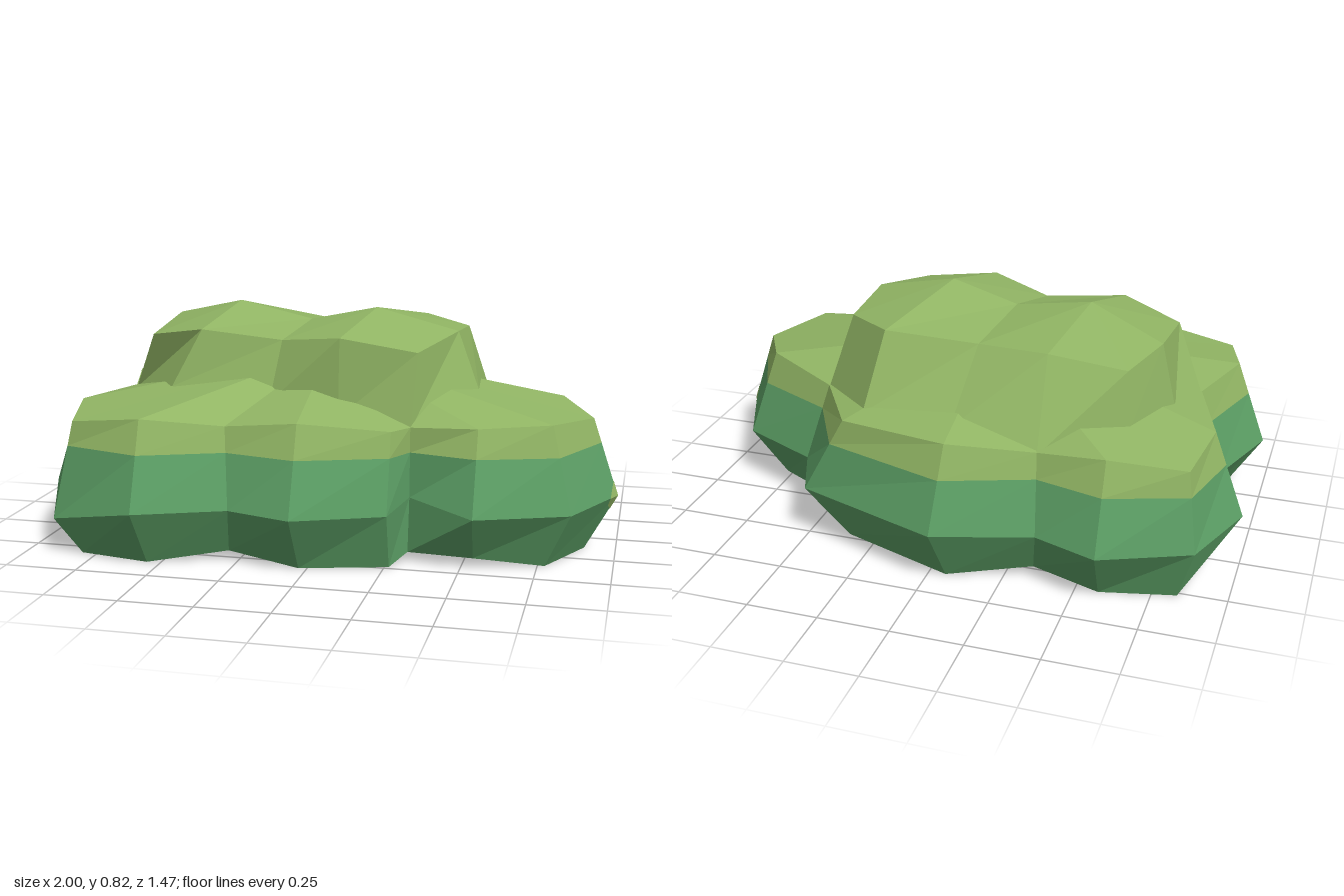
import * as THREE from 'three';

const leafTop = new THREE.MeshStandardMaterial({ color: 0x91b564, flatShading: true });
leafTop.name = 'light leaf green';
const leafSide = new THREE.MeshStandardMaterial({ color: 0x5c9f65, flatShading: true });
leafSide.name = 'deep leaf green';

const V = (x, y, z) => new THREE.Vector3(x, y, z);

// Flat-sided mesh through stacked rings, each counterclockwise seen from above
function loft(name, rings, material) {
  const pos = [];
  const tri = (a, b, c) => {
    if (a.equals(b) || b.equals(c) || c.equals(a)) return;
    for (const p of [a, b, c]) pos.push(p.x, p.y, p.z);
  };
  for (let r = 0; r + 1 < rings.length; r++) {
    const lo = rings[r], hi = rings[r + 1], n = lo.length;
    for (let i = 0; i < n; i++) {
      const j = (i + 1) % n;
      tri(lo[i], lo[j], hi[j]);
      tri(lo[i], hi[j], hi[i]);
    }
  }
  return meshFrom(name, pos, material);
}

function meshFrom(name, pos, material) {
  const g = new THREE.BufferGeometry();
  g.setAttribute('position', new THREE.Float32BufferAttribute(pos, 3));
  g.computeVertexNormals();
  const mesh = new THREE.Mesh(g, material);
  mesh.name = name;
  return mesh;
}

export function createModel() {
  const group = new THREE.Group();
  group.name = 'bush';

  // Widest outline of the lower foliage: back, left-hand side, front, right-hand side
  const middle = [
    [-0.04, 0.21, -0.74], [-0.37, 0.2, -0.62], [-0.59, 0.2, -0.70], [-0.89, 0.2, -0.57],
    [-1.0, 0.2, -0.27], [-0.88, 0.2, 0.02], [-0.99, 0.2, 0.33], [-0.89, 0.13, 0.60],
    [-0.56, 0.2, 0.73], [-0.26, 0.2, 0.61], [-0.03, 0.2, 0.685], [0.27, 0.2, 0.56],
    [0.32, 0.23, 0.415], [0.55, 0.2, 0.54], [0.86, 0.2, 0.42], [1.0, 0.2, 0.12],
    [0.87, 0.2, -0.18], [0.58, 0.2, -0.32], [0.49, 0.2, -0.54],
  ].map((p) => V(...p));

  // Shoulder of the lower foliage
  const shoulder = [
    [-0.06, 0.5, -0.63], [-0.35, 0.47, -0.54], [-0.59, 0.5, -0.58], [-0.85, 0.47, -0.52],
    [-0.89, 0.5, -0.27], [-0.79, 0.5, 0.04], [-0.88, 0.5, 0.33], [-0.82, 0.47, 0.57],
    [-0.56, 0.5, 0.62], [-0.29, 0.47, 0.53], [-0.03, 0.5, 0.57], [0.27, 0.47, 0.49],
    [0.32, 0.47, 0.41], [0.55, 0.48, 0.43], [0.79, 0.49, 0.36], [0.91, 0.47, 0.12],
    [0.79, 0.5, -0.10], [0.51, 0.47, -0.25], [0.34, 0.48, -0.53],
  ].map((p) => V(...p));

  // Underside follows the shoulder, lifted a little in the notches
  const notches = [1, 5, 9, 12, 13, 18];
  const bottom = shoulder.map((p, i) => V(p.x * 0.98, notches.includes(i) ? 0.035 : 0.003, p.z * 0.99));

  // Level line where the two greens meet
  const seam = middle.map((p, i) => p.clone().lerp(shoulder[i], (0.385 - p.y) / (shoulder[i].y - p.y)));

  const under = middle.map(() => V(-0.05, 0.012, 0));
  const centre = middle.map(() => V(-0.05, 0.66, 0));
  group.add(loft('lowerFoliage', [under, bottom, middle, seam], leafSide));
  group.add(loft('lowerFoliageTop', [seam, shoulder, centre], leafTop));

  // Upper clump: foot, shoulder, then two peaks with a dip between them
  const foot = [
    [0.51, 0.46, -0.25], [0.29, 0.49, -0.47], [-0.04, 0.5, -0.51], [-0.35, 0.46, -0.54],
    [-0.62, 0.51, -0.37], [-0.73, 0.51, -0.15], [-0.79, 0.49, 0.04], [-0.56, 0.55, 0.29],
    [-0.2, 0.51, 0.30], [0.06, 0.48, 0.36], [0.32, 0.46, 0.41], [0.51, 0.54, 0.10],
  ].map((p) => V(...p));
  const crown = [
    [0.43, 0.73, -0.19], [0.25, 0.75, -0.34], [-0.07, 0.72, -0.29], [-0.33, 0.74, -0.35],
    [-0.6, 0.71, -0.34], [-0.68, 0.75, -0.17], [-0.68, 0.71, 0.14], [-0.46, 0.75, 0.245],
    [-0.17, 0.72, 0.23], [0.06, 0.75, 0.335], [0.33, 0.71, 0.335], [0.43, 0.75, 0.08],
  ].map((p) => V(...p));
  const peaks = { R: V(0.13, 0.82, 0.04), M: V(-0.12, 0.765, 0), L: V(-0.4, 0.82, -0.04) };
  const ridge = [...'RRMLLLLLMRRR'].map((k) => peaks[k]);
  group.add(loft('upperFoliage', [foot, crown, ridge], leafTop));

  // Small light patch on the tip of the side lobe
  const tip = middle[15];
  const rim = [middle[16], shoulder[16], shoulder[15], middle[14], bottom[14], bottom[15]]
    .map((p) => p.clone().sub(tip).setLength(0.056).add(tip));
  const pos = [];
  rim.forEach((p, i) => {
    for (const q of [tip, p, rim[(i + 1) % rim.length]]) pos.push(q.x + 0.002, q.y, q.z);
  });
  group.add(meshFrom('tipPatch', pos, leafTop));

  return group;
}
